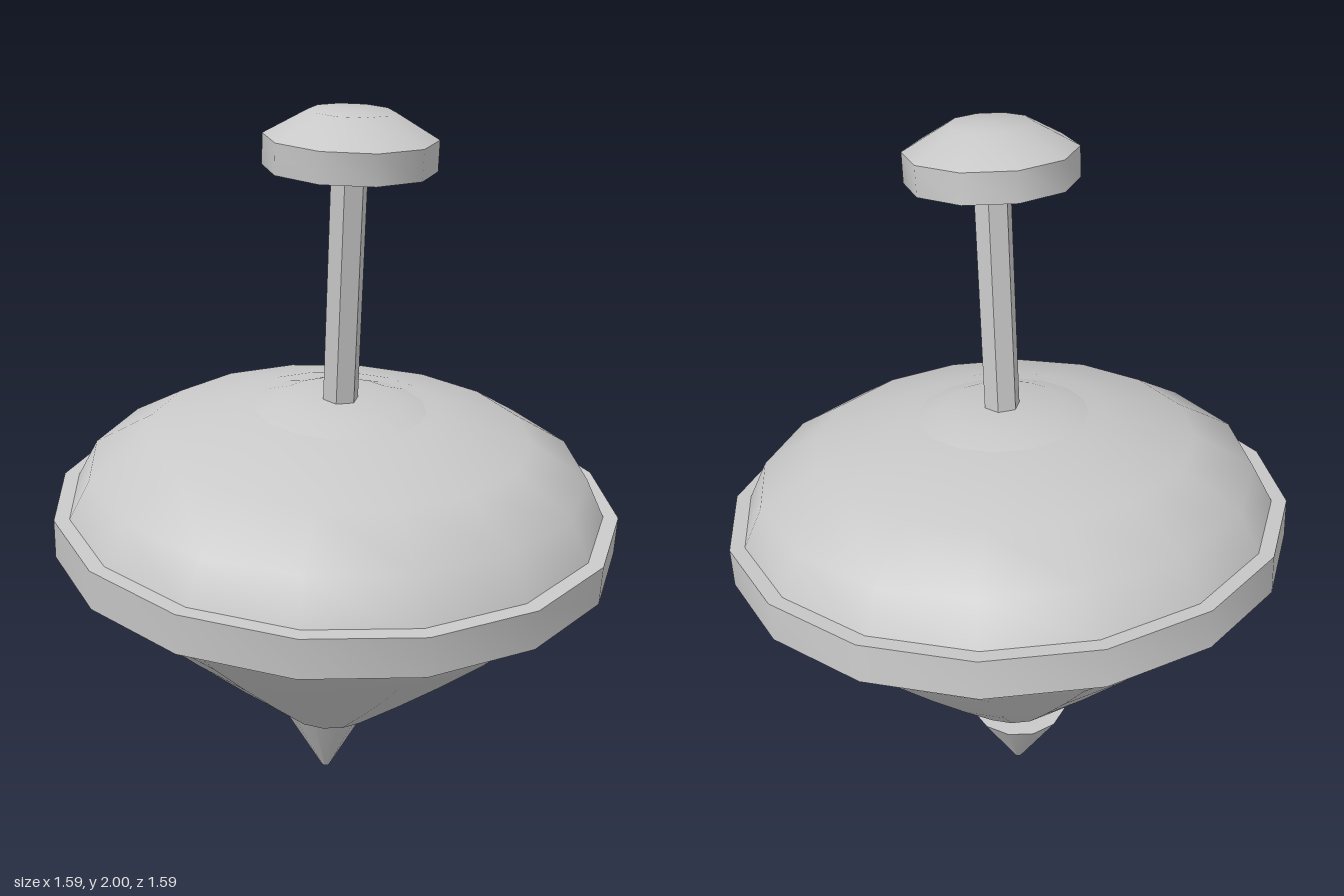
import * as THREE from 'three';
import { toCreasedNormals } from 'three/addons/utils/BufferGeometryUtils.js';

const grey = new THREE.MeshStandardMaterial({ color: 0xc8c8c8 });
grey.name = 'plainGrey';

// Turned part from [radius, height] points listed bottom to top
function turned(name, profile, sides, crease = 0.7) {
  const points = profile.map(([r, y]) => new THREE.Vector2(r, y));
  const mesh = new THREE.Mesh(toCreasedNormals(new THREE.LatheGeometry(points, sides), crease), grey);
  mesh.name = name;
  return mesh;
}

export function createModel() {
  const model = new THREE.Group();
  model.name = 'spinningTop';

  // Everything but the tip leans forward about the middle of the rim band
  const leaning = new THREE.Group();
  leaning.name = 'leaningTop';
  leaning.position.set(0, 0.867, 0.003);
  leaning.rotation.x = 0.13;
  model.add(leaning);

  // Slightly bulging lower cone with a closed bottom
  leaning.add(turned('lowerCone', [
    [0, -0.64], [0.147, -0.64], [0.31, -0.492], [0.475, -0.337], [0.625, -0.19], [0.752, -0.05],
  ], 16));

  // Rim band
  leaning.add(turned('rimBand', [[0, -0.055], [0.793, -0.055], [0.793, 0.055], [0, 0.055]], 16));

  // Flattened upper dome, a half ellipse in four steps
  const dome = [];
  for (let i = 0; i <= 4; i++) {
    const a = (i * Math.PI) / 8;
    dome.push([0.752 * Math.cos(a), 0.053 + 0.293 * Math.sin(a)]);
  }
  dome[4][0] = 0;
  leaning.add(turned('upperDome', dome, 16));

  // Low collar around the stem
  leaning.add(turned('collar', [[0.268, 0.318], [0.165, 0.352], [0, 0.352]], 16));

  // Six-sided stem
  const stem = turned('stem', [[0.05, 0.33], [0.05, 1.0]], 6, 0.5);
  stem.rotation.y = Math.PI / 6;
  leaning.add(stem);

  // Knob with a shallow top
  leaning.add(turned('knob', [
    [0, 0.985], [0.227, 0.985], [0.227, 1.065], [0.111, 1.13], [0, 1.133],
  ], 10));

  // Upright point the top stands on
  const tip = turned('tip', [[0, 0], [0.012, 0], [0.145, 0.23], [0, 0.23]], 12);
  tip.position.z = -0.113;
  model.add(tip);

  return model;
}
